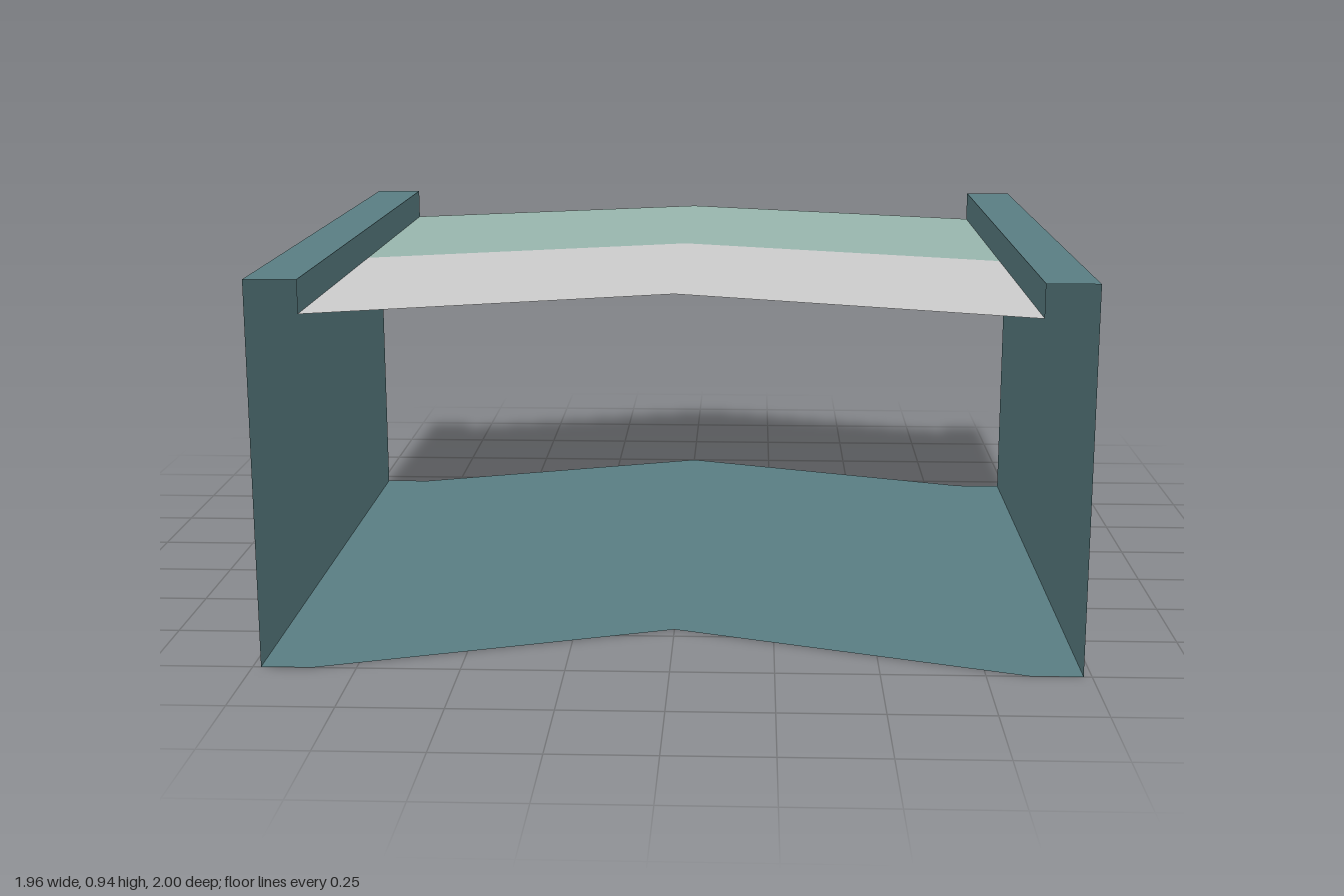
import * as THREE from 'three';

const TEAL = 0x597d82, GREEN = 0x98b5ad, GREY = 0xcccccc;
const BACK = -0.7, FRONT = 1;      // z of the wall ends
const INNER = 0.855, OUTER = 0.98; // half widths of the panels and the walls
const TOP = 0.94, DECK = 0.86;     // heights of the rails and the upper panels
const RISE = 0.3;                  // how far each chevron points backwards

function sheet(name, geometry, color) {
  const material = new THREE.MeshStandardMaterial({ color, side: THREE.DoubleSide, flatShading: true });
  const mesh = new THREE.Mesh(geometry, material);
  mesh.name = name;
  return mesh;
}

// Flat horizontal chevron between two z lines, with square ends out to halfWidth
function chevron(name, back, front, halfWidth, y, color) {
  const edge = (z) => [[-halfWidth, z], [-INNER, z], [0, z - RISE], [INNER, z], [halfWidth, z]];
  const outline = [...edge(front), ...edge(back).reverse()]
    .filter(([x], i, all) => i === 0 || x !== all[i - 1][0] || Math.abs(x) === halfWidth)
    .filter(([x, z], i, all) => all.findIndex((p) => p[0] === x && p[1] === z) === i);
  const shape = new THREE.Shape(outline.map(([x, z]) => new THREE.Vector2(x, -z)));
  const mesh = sheet(name, new THREE.ShapeGeometry(shape).rotateX(-Math.PI / 2), color);
  mesh.position.y = y;
  return mesh;
}

// Upright sheet running along z
function upright(name, x, bottom, top) {
  const geometry = new THREE.PlaneGeometry(FRONT - BACK, top - bottom).rotateY(Math.sign(x) * Math.PI / 2);
  const mesh = sheet(name, geometry, TEAL);
  mesh.position.set(x, (bottom + top) / 2, (FRONT + BACK) / 2);
  return mesh;
}

export function createModel() {
  const group = new THREE.Group();
  group.name = 'chevronChannel';
  const middle = (BACK + FRONT) / 2;

  // Floor and the two-tone upper panels
  group.add(
    chevron('floor', BACK, FRONT, OUTER, 0, TEAL),
    chevron('backPanel', BACK, middle, INNER, DECK, GREEN),
    chevron('frontPanel', middle, FRONT, INNER, DECK, GREY),
  );

  // Side walls, each folded over into a rail
  for (const [side, s] of [['left', 1], ['right', -1]]) {
    const rail = sheet(side + 'RailTop',
      new THREE.PlaneGeometry(OUTER - INNER, FRONT - BACK).rotateX(-Math.PI / 2), TEAL);
    rail.position.set(s * (INNER + OUTER) / 2, TOP, middle);
    group.add(
      upright(side + 'Wall', s * OUTER, 0, TOP),
      upright(side + 'RailLip', -s * -INNER, DECK, TOP),
      rail,
    );
  }
  return group;
}
